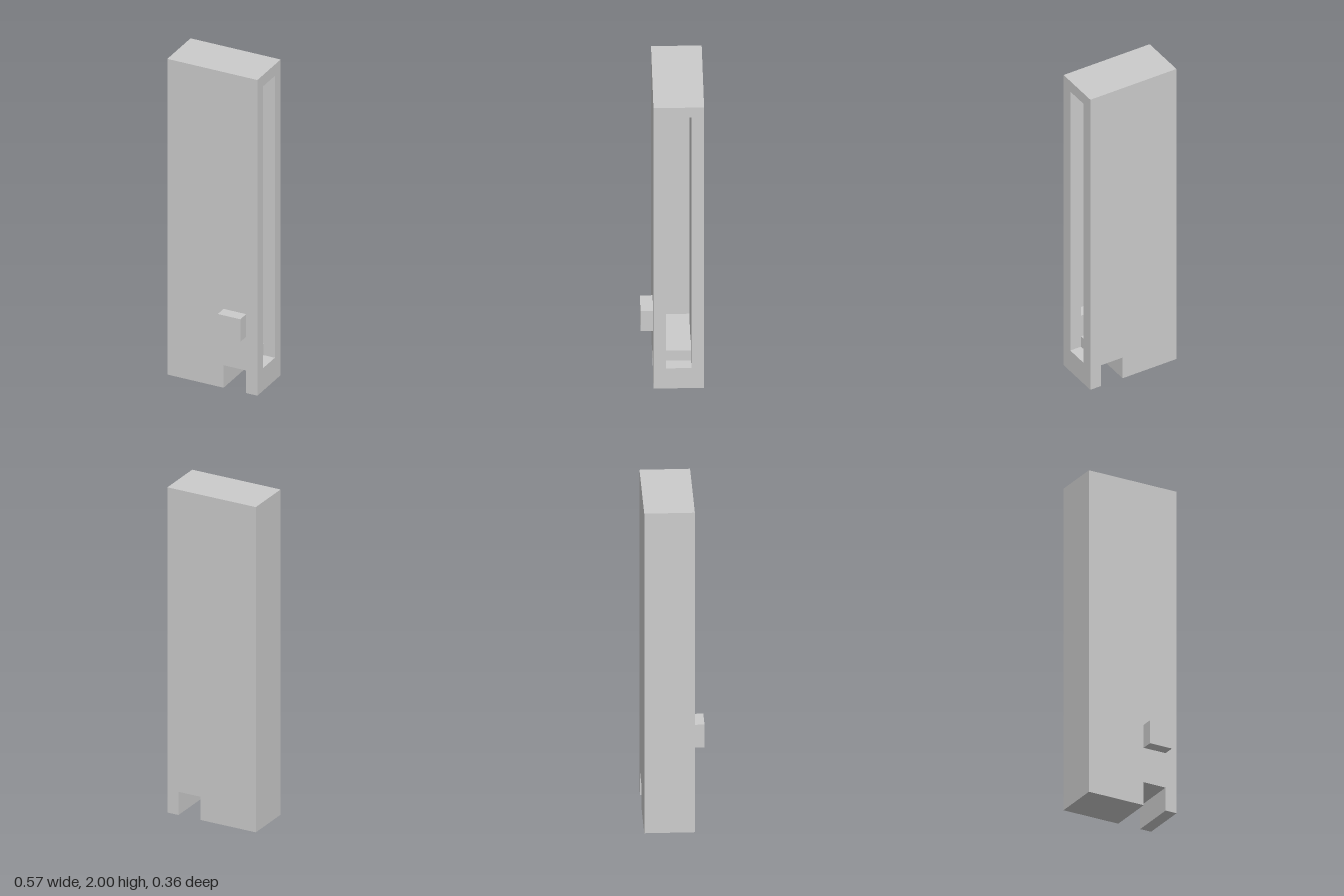
import * as THREE from 'three';

const U = 1 / 14; // everything sits on a grid of this unit

export function createModel() {
  const model = new THREE.Group();
  const material = new THREE.MeshStandardMaterial({ color: 0xcccccc, flatShading: true });

  const add = (name, geometry) => {
    const mesh = new THREE.Mesh(geometry, material);
    mesh.name = name;
    model.add(mesh);
  };

  // Box from its min and max corners, in grid units
  const box = (name, [x0, y0, z0], [x1, y1, z1]) => {
    const g = new THREE.BoxGeometry((x1 - x0) * U, (y1 - y0) * U, (z1 - z0) * U);
    g.translate((x0 + x1) / 2 * U, (y0 + y1) / 2 * U, (z0 + z1) / 2 * U);
    add(name, g);
  };

  const points = (list) => list.map(([x, y]) => new THREE.Vector2(x * U, y * U));

  // Large wall with the notch at its foot, optionally with the button opening
  const wall = (name, z, opening) => {
    const shape = new THREE.Shape(points([
      [-4, 0], [1, 0], [1, 2], [3, 2], [3, 0], [4, 0], [4, 28], [-4, 28],
    ]));
    if (opening) shape.holes.push(new THREE.Path(points([[1, 5], [1, 7], [3, 7], [3, 5]])));
    const g = new THREE.ExtrudeGeometry(shape, { depth: U, bevelEnabled: false });
    g.translate(0, 0, z * U);
    add(name, g);
  };

  wall('frontWall', 0.5, true);
  wall('backWall', -2.5, false);

  // Parts between the walls, leaving the cavity open on the +x side
  box('top', [-4, 27, -1.5], [4, 28, 0.5]);
  box('closedSide', [-4, 2, -1.5], [-3, 27, 0.5]);
  box('base', [-4, 0, -1.5], [1, 2, 0.5]);
  box('notchCover', [1, 2, -1.5], [3, 3, 0.5]);
  box('slotSill', [3, 0, -1.5], [4, 2, 0.5]);

  // Block on the front, closing the wall opening
  box('button', [1, 5, 1.5], [3, 7, 2.5]);

  return model;
}
